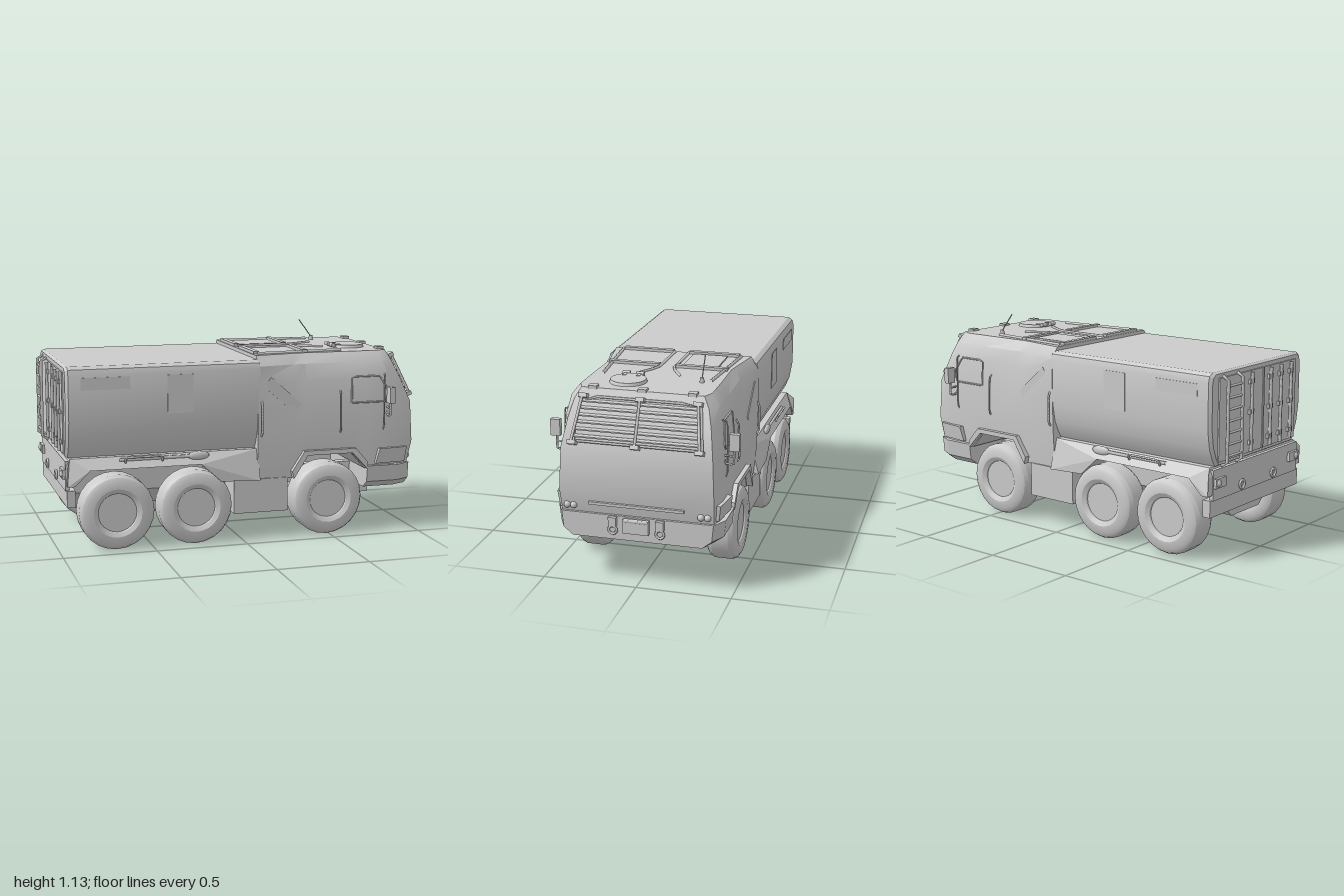
import * as THREE from 'three';
import { toCreasedNormals } from 'three/addons/utils/BufferGeometryUtils.js';

const grey = new THREE.MeshStandardMaterial({ color: 0xcccccc });
const V = (x, y, z) => new THREE.Vector3(x, y, z);

export function createModel() {
  const model = new THREE.Group();
  model.name = 'armouredTruck';

  function add(name, geo, x = 0, y = 0, z = 0, parent = model) {
    const m = new THREE.Mesh(geo, grey);
    m.name = name;
    m.position.set(x, y, z);
    parent.add(m);
    return m;
  }
  const box = (name, w, h, d, x, y, z, parent) => add(name, new THREE.BoxGeometry(w, h, d), x, y, z, parent);
  // round bar following straight segments
  function bar(name, pts, r, parent = model) {
    const path = new THREE.CurvePath();
    for (let i = 1; i < pts.length; i++) path.add(new THREE.LineCurve3(V(...pts[i - 1]), V(...pts[i])));
    return add(name, new THREE.TubeGeometry(path, (pts.length - 1) * 4, r, 6), 0, 0, 0, parent);
  }
  // side profile (x, y) extruded along z from z0 to z1
  function slab(name, pts, z0, z1) {
    const shape = new THREE.Shape(pts.map(p => new THREE.Vector2(...p)));
    const geo = new THREE.ExtrudeGeometry(shape, { depth: z1 - z0, bevelEnabled: false });
    return add(name, geo, 0, 0, z0);
  }
  // skin over mirrored half sections [[x, y, z], ...], listed bottom to top, rear to front
  function loft(name, sections, crease = 0.45) {
    const rings = sections.map(s => [...s, ...s.map(([x, y, z]) => [x, y, -z]).reverse()]);
    const n = rings[0].length, pos = [];
    const quad = (a, b, c, d) => [a, b, c, a, c, d].forEach(p => pos.push(...p));
    for (let i = 0; i + 1 < rings.length; i++)
      for (let j = 0; j < n; j++) {
        const k = (j + 1) % n;
        quad(rings[i][j], rings[i + 1][j], rings[i + 1][k], rings[i][k]);
      }
    const a = rings[0], f = rings[rings.length - 1];
    for (let j = 0; j + 1 < n / 2; j++) {
      quad(f[j], f[n - 1 - j], f[n - 2 - j], f[j + 1]);
      quad(a[j], a[j + 1], a[n - 2 - j], a[n - 1 - j]);
    }
    const geo = new THREE.BufferGeometry();
    geo.setAttribute('position', new THREE.Float32BufferAttribute(pos, 3));
    return add(name, toCreasedNormals(geo, crease));
  }

  // cargo body: bulging sides, rounded roof edge
  const cargo = [[.5, .36], [.54, .385], [.6, .41], [.7, .427], [.94, .427], [.97, .418], [.985, .395]];
  const cargoAt = (x, k) => cargo.map(([y, z]) => [x, .74 + (y - .74) * k, z * k]);
  loft('cargoBody', [cargoAt(-.96, .965), cargoAt(-.945, 1), cargoAt(.09, 1)]);

  // cab, with the wheel arch cut by raising the lower edge
  const ys = [.5, .72, .86, .95, 1.005];
  const cabAt = (x, low, zs) => [low, ...ys].map((y, i) => [Array.isArray(x) ? x[i] : x, y, zs[i]]);
  const wide = [.42, .425, .42, .408, .388, .345];
  loft('cab', [
    cabAt(.08, .33, [.41, .425, .43, .43, .425, .385]),
    cabAt(.29, .33, [.415, .425, .425, .41, .39, .35]),
    cabAt(.36, .45, [.42, .425, .422, .405, .385, .34]),
    cabAt(.62, .45, wide), cabAt(.7, .36, wide),
    cabAt([.87, .88, .87, .84, .81, .79], .37, wide),
    cabAt([.96, .988, .978, .92, .878, .85], .37, [.40, .405, .395, .372, .35, .32]),
  ]);

  // lower body with the rear wheel arches, leaning in under the cargo body
  const deck = slab('rearFender', [[-.96, .36], [-.92, .36], [-.84, .44], [-.24, .44], [-.13, .34],
    [.09, .33], [.09, .5], [-.94, .5], [-.96, .46]], -.44, .44);
  const dp = deck.geometry.attributes.position;
  for (let i = 0; i < dp.count; i++)
    if (dp.getY(i) > .48) dp.setZ(i, .44 + (dp.getZ(i) - .44) * .9);
  deck.geometry.computeVertexNormals();

  // belly hull, frame and front underside
  const hull = x => [[x, .18, .13], [x, .28, .24], [x, .45, .25]];
  loft('bellyHull', [hull(-.9), hull(.2)], .1);
  box('frontCrossmember', .1, .07, .5, .74, .22, 0);
  box('sumpGuard', .2, .07, .29, .5, .2, 0);
  for (const s of [1, -1]) {
    box('frameRail', .7, .1, .05, .5, .3, s * .15);
    box('sideLocker', .305, .185, .19, .1, .243, s * .325);
  }

  // wheels and axles
  const tyre = [[.1, -.07], [.13, -.082], [.17, -.08], [.19, -.068], [.203, -.045], [.203, .045],
    [.19, .068], [.17, .08], [.13, .082], [.108, .07], [.1, .055]].map(p => new THREE.Vector2(...p));
  const tyreGeo = toCreasedNormals(new THREE.LatheGeometry(tyre, 24), .5).rotateX(Math.PI / 2);
  const hubGeo = new THREE.CylinderGeometry(.104, .104, .125, 24).rotateX(Math.PI / 2);
  for (const x of [-.695, -.265, .485]) {
    add('axle', new THREE.CylinderGeometry(.032, .032, .6, 12).rotateX(Math.PI / 2), x, .203, 0);
    add('differential', new THREE.SphereGeometry(.075, 12, 8), x, .22, 0);
    for (const s of [1, -1]) {
      const w = new THREE.Group();
      w.name = 'wheel';
      w.position.set(x, .203, s * .36);
      if (s < 0) w.rotation.y = Math.PI;
      add('tyre', tyreGeo, 0, 0, 0, w);
      add('hub', hubGeo, 0, 0, 0, w);
      model.add(w);
    }
  }

  // front bumper with chamfered lower corners
  const bump = (x, k) => [[x, .245, .38 * k], [x, .285, .435 * k], [x, .375, .445 * k]];
  loft('frontBumper', [bump(.71, 1), bump(.89, 1), bump(.975, .9)], .2);
  box('winchHousing', .03, .075, .135, .985, .33, 0);
  bar('winchRoller', [[.992, .36, -.06], [.992, .36, .06]], .012);
  box('grilleLip', .03, .015, .5, .975, .435, 0);

  // window outline with a pillar leaning at the front
  const win = [[.62, .73], [.83, .73], [.835, .79], [.79, .872], [.625, .872]];
  const arch = [[.28, .33], [.36, .455], [.62, .455], [.71, .36], [.71, .4], [.64, .48], [.34, .48], [.27, .37]];
  for (const s of [1, -1]) {
    slab('archFlare', arch, s > 0 ? .4 : -.448, s > 0 ? .448 : -.4);
    const sideZ = y => s * (y < .8 ? .42 : .407);
    bar('windowFrame', [...win, win[0]].map(([x, y]) => [x, y, sideZ(y)]), .005);
    bar('doorHandle', [[.555, .57, s * .42], [.555, .59, s * .435], [.555, .78, s * .428], [.555, .8, s * .412]], .005);
    bar('rearHandle', [[.1, .57, s * .42], [.1, .59, s * .44], [.1, .74, s * .44], [.1, .76, s * .425]], .006);

    // mirrors on bent arms
    box('mirror', .03, .088, .052, .83, .772, s * .472);
    bar('mirrorArm', [[.83, .69, s * .41], [.83, .655, s * .425], [.83, .655, s * .468], [.83, .74, s * .468]], .006);
    bar('mirrorBrace', [[.83, .7, s * .41], [.83, .695, s * .468]], .005);
    bar('grabRail', [[.82, .88, s * .4], [.81, .87, s * .428], [.81, .6, s * .432], [.81, .57, s * .418]], .004);

    // lights, tow shackles and vents at the nose
    for (const z of [.37, .335])
      add('headlight', new THREE.SphereGeometry(.018, 12, 8), .972, .41, s * z);
    loft('headlightPod', [[[.76, .385, .44], [.78, .47, .452]], [[.94, .385, .42], [.95, .47, .43]]])
      .scale.y = 1;
    box('towBracket', .04, .05, .042, .975, .345, s * .125);
    add('towShackle', new THREE.TorusGeometry(.021, .007, 6, 14).rotateY(Math.PI / 2), .985, .3, s * .125);
    for (const y of [.315, .345])
      box('bumperVent', .015, .008, .07, .95, y, s * .35);

    // flush side panels
    box('sideMarker', .26, .065, .006, -.75, .895, s * .427);
    box('sidePanel', .14, .205, .006, -.35, .825, s * .427);
    box('cabPanel', .23, .065, .006, .22, .79, s * .422).rotation.z = -.72;

    // tools and grips along the fender
    bar('toolHandle', [[-.68, .485, s * .415], [-.3, .485, s * .415]], .009);
    add('toolBlade', new THREE.SphereGeometry(.06, 12, 8).scale(1, .42, .25), -.25, .485, s * .415);
    bar('fenderGrip', [[-.65, .47, s * .425], [-.65, .5, s * .44], [-.45, .5, s * .44], [-.45, .47, s * .425]], .006);
  }

  // windscreen guard leaning back with the glass
  const guard = new THREE.Group();
  guard.name = 'windscreenGuard';
  guard.position.set(.982, .74, 0);
  guard.rotation.z = .434;
  model.add(guard);
  const frame = [[0, .02, -.34], [0, .02, .34], [0, .25, .31], [0, .25, -.31], [0, .02, -.34]];
  bar('guardFrame', frame, .007, guard);
  for (let i = 0; i < 6; i++) {
    const y = .045 + i * .036;
    const slat = box('guardSlat', .03, .007, .66 - y * .25, .01, y, 0, guard);
    slat.rotation.z = -.5;
  }
  for (const k of [-1, 0, 1]) {
    bar('guardPost', [[.022, 0, k * .335], [.022, .255, k * .3]], .008, guard);
    box('guardFoot', .04, .022, .045, .01, .01, k * .33, guard);
    box('guardFoot', .04, .022, .045, .01, .25, k * .298, guard);
    box('roofLamp', .04, .018, .045, .84, 1.008, k * .26);
  }

  // roof rails, panels and hatches
  for (const s of [1, -1]) {
    for (const x of [.1, .38])
      box('roofCrossRail', .03, .02, .28, x, 1.01, s * .185);
    bar('roofRail', [[.1, 1.008, s * .335], [.6, 1.008, s * .29]], .009);
    bar('roofInnerRail', [[.1, 1.008, s * .04], [.42, 1.008, s * .04], [.56, 1.008, s * .12]], .008);
  }
  box('roofPanel', .22, .018, .19, .24, 1.004, -.17);
  add('roundHatch', new THREE.CylinderGeometry(.092, .1, .022, 28), .7, 1.01, .12);
  for (const z of [.085, .16]) {
    box('hatchArm', .06, .012, .018, .62, 1.018, z);
    add('hatchHinge', new THREE.CylinderGeometry(.012, .012, .04, 10).rotateX(Math.PI / 2), .6, 1.02, z);
  }
  add('antennaBase', new THREE.CylinderGeometry(.01, .014, .03, 10), .62, 1.015, -.248);
  bar('antenna', [[.62, 1.025, -.248], [.543, 1.127, -.245]], .003);

  // rear doors, locking bars and ladder
  box('rearDoors', .012, .43, .72, -.962, .74, 0);
  box('doorSeam', .018, .43, .012, -.964, .74, .04);
  for (const z of [-.08, .1, .2, .3]) {
    bar('lockBar', [[-.978, .53, z], [-.978, .95, z]], .009);
    for (const y of [.58, .74, .9]) box('lockBracket', .02, .025, .04, -.97, y, z);
  }
  for (const z of [-.32, -.19])
    bar('ladderRail', [[-.96, .5, z], [-.992, .51, z], [-.992, .95, z], [-.96, .96, z]], .009);
  for (let i = 0; i < 7; i++)
    bar('ladderRung', [[-.99, .55 + i * .06, -.32], [-.99, .55 + i * .06, -.19]], .007);

  // rear bumper and tail lights
  box('rearBumper', .045, .09, .84, -.938, .29, 0);
  box('rearPanel', .02, .16, .8, -.955, .41, 0);
  for (const s of [1, -1]) {
    box('bumperMount', .06, .14, .05, -.92, .34, s * .2);
    add('tailLight', new THREE.SphereGeometry(.022, 10, 8), -.97, .42, s * .37);
    box('tailLightBox', .03, .05, .09, -.965, .42, s * .35);
    add('rearShackle', new THREE.TorusGeometry(.022, .007, 6, 14).rotateY(Math.PI / 2), -.975, .37, s * .15);
  }
  return model;
}
